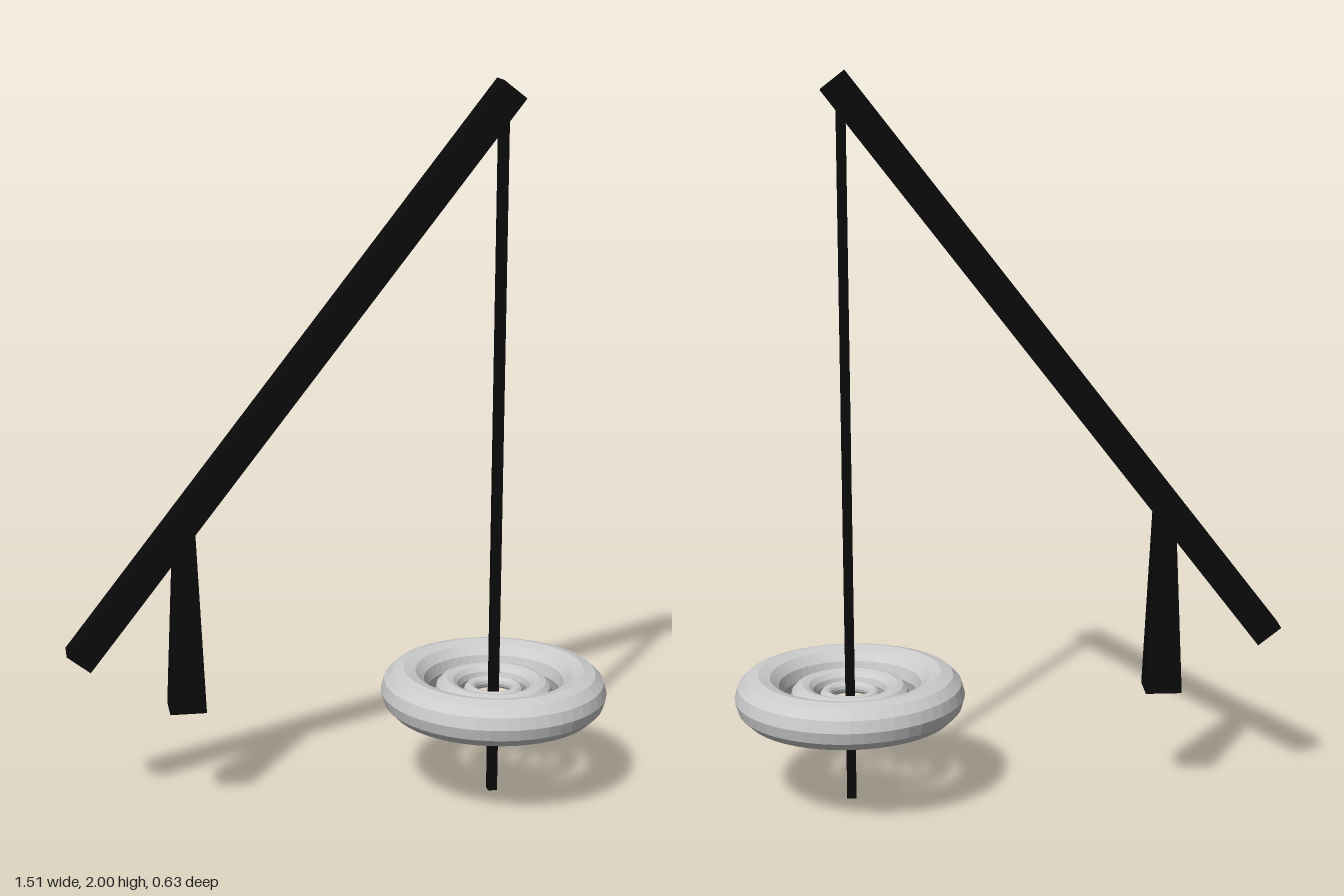
import * as THREE from 'three';

export function createModel() {
  const group = new THREE.Group();
  const black = new THREE.MeshStandardMaterial({ color: 0x0a0a0a });
  const grey = new THREE.MeshStandardMaterial({ color: 0xcccccc, flatShading: true });

  const add = (name, geometry, material, x, y) => {
    const mesh = new THREE.Mesh(geometry, material);
    mesh.name = name;
    mesh.position.set(x, y, 0);
    group.add(mesh);
    return mesh;
  };

  // Leaning square beam
  const beam = add('beam', new THREE.BoxGeometry(1.924, 0.08, 0.08), black, -0.134, 1.215);
  beam.rotation.z = Math.atan2(1.52, 1.179);

  // Tapered square post under the beam
  const postGeo = new THREE.CylinderGeometry(0.055 / Math.SQRT2, 0.1 / Math.SQRT2, 0.53, 4, 1)
    .rotateY(Math.PI / 4)
    .toNonIndexed();
  postGeo.computeVertexNormals();
  add('post', postGeo, black, -0.43, 0.565);

  // Thin square rod hanging from the beam tip
  add('hangingRod', new THREE.BoxGeometry(0.026, 1.94, 0.026), black, 0.435, 0.97);

  // Nested rings around the rod, each about half the size of the last
  [1, 0.517, 0.262].forEach((s, i) => {
    const ring = new THREE.TorusGeometry(0.252 * s, 0.065 * s, 12, 48).rotateX(Math.PI / 2);
    add(`ring${i + 1}`, ring, grey, 0.435, 0.3);
  });

  return group;
}
